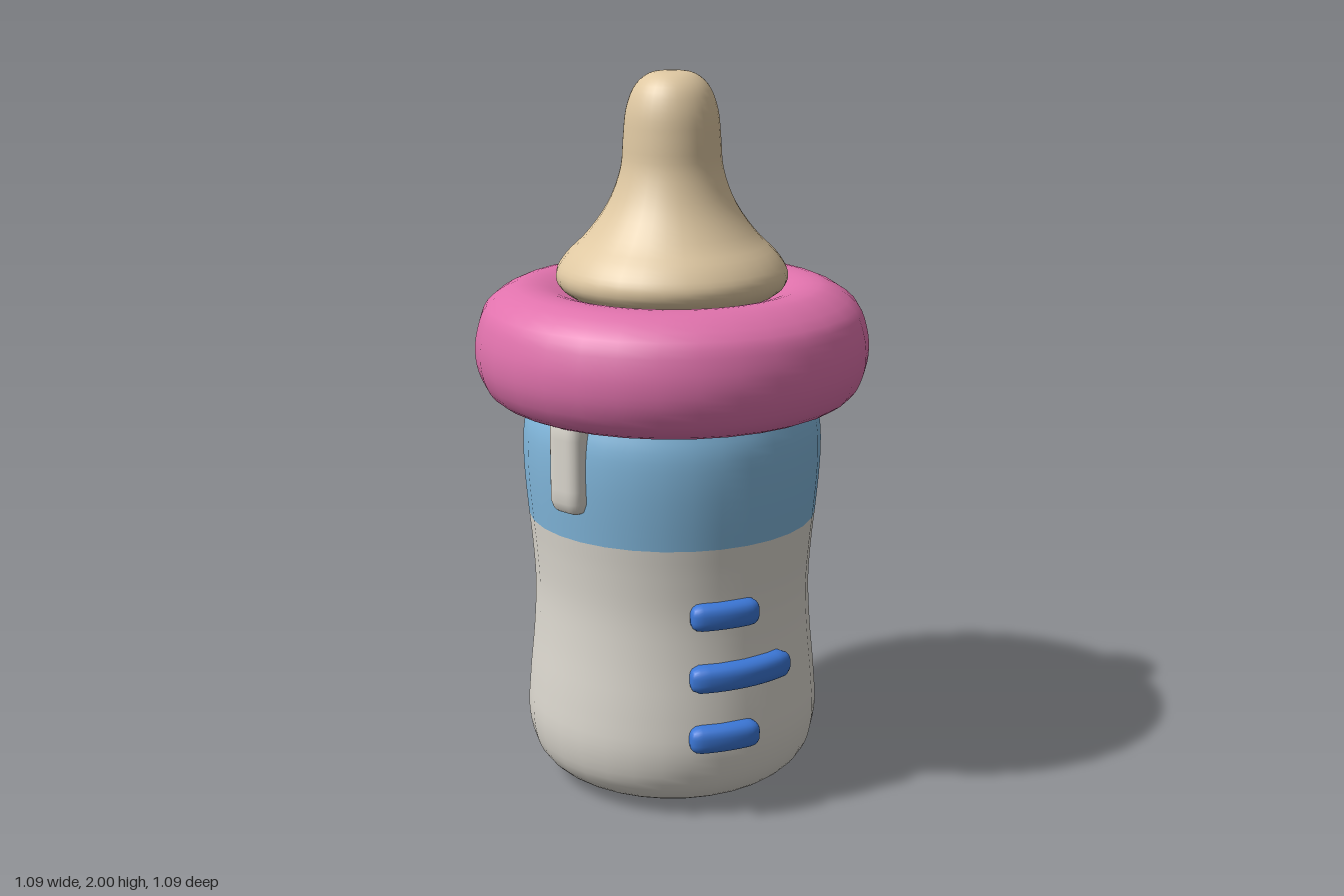
import * as THREE from 'three';
import { mergeVertices } from 'three/addons/utils/BufferGeometryUtils.js';

const material = (name, color) => {
  const m = new THREE.MeshStandardMaterial({ color });
  m.name = name;
  return m;
};

// Smooth turned part from a few [radius, height] points, listed bottom to top
function turned(name, points, mat, samples = 24) {
  const curve = new THREE.CatmullRomCurve3(
    points.map(([r, y]) => new THREE.Vector3(r, y, 0)), false, 'centripetal');
  const profile = curve.getPoints(samples).map(p => new THREE.Vector2(Math.max(p.x, 0), p.y));
  const mesh = new THREE.Mesh(new THREE.LatheGeometry(profile, 32), mat);
  mesh.name = name;
  return mesh;
}

// Rounded bar wrapped around the bottle; x0..x1 is its extent seen from the front
function wrappedBar(name, x0, x1, y0, y1, rIn, rOut, corner, mat) {
  const a0 = Math.asin(x0 / rOut), a1 = Math.asin(x1 / rOut);
  const w = (a1 - a0) * rOut, h = y1 - y0, d = rOut - rIn;
  let geo = new THREE.BoxGeometry(w, h, d, 12, 8, 6);
  geo.deleteAttribute('uv');
  geo.deleteAttribute('normal');
  geo = mergeVertices(geo);
  const pos = geo.attributes.position;
  const p = new THREE.Vector3(), core = new THREE.Vector3();
  const limit = new THREE.Vector3(w / 2 - corner, h / 2 - corner, d / 2 - corner);
  const negative = limit.clone().negate();
  for (let i = 0; i < pos.count; i++) {
    p.fromBufferAttribute(pos, i);
    // Round the corners
    core.copy(p).clamp(negative, limit);
    p.sub(core).setLength(corner).add(core);
    // Bend round the upright axis
    const a = (a0 + a1) / 2 + p.x / rOut;
    const r = (rIn + rOut) / 2 + p.z;
    pos.setXYZ(i, Math.sin(a) * r, (y0 + y1) / 2 + p.y, Math.cos(a) * r);
  }
  geo.computeVertexNormals();
  const mesh = new THREE.Mesh(geo, mat);
  mesh.name = name;
  return mesh;
}

export function createModel() {
  const group = new THREE.Group();
  group.name = 'babyBottle';

  const milk = material('milk white', 0xdcd8cf);
  const sky = material('light blue', 0x82b8dd);
  const pink = material('pink', 0xe072ac);
  const rubber = material('tan rubber', 0xdfc8a2);
  const blue = material('marking blue', 0x3c78d8);

  // Bottle: waisted body with a coloured band at the neck
  group.add(turned('bottleBody', [
    [0, 0.005], [0.2, 0.008], [0.32, 0.03], [0.385, 0.085], [0.412, 0.18],
    [0.408, 0.3], [0.394, 0.45], [0.388, 0.58], [0.395, 0.7], [0.403, 0.78],
  ], milk, 36));
  group.add(turned('neckBand', [
    [0.403, 0.78], [0.412, 0.88], [0.416, 0.97], [0.411, 1.05], [0.39, 1.12],
  ], sky, 12));

  // Fat screw collar
  group.add(turned('collar', [
    [0.3, 1.12], [0.36, 1.1], [0.43, 1.097], [0.503, 1.13], [0.535, 1.19], [0.543, 1.25],
    [0.535, 1.31], [0.51, 1.37], [0.43, 1.422], [0.36, 1.425], [0.28, 1.4],
  ], pink, 30));

  // Teat
  group.add(turned('teat', [
    [0.27, 1.39], [0.312, 1.425], [0.317, 1.46], [0.29, 1.505], [0.235, 1.56],
    [0.175, 1.645], [0.14, 1.74], [0.133, 1.82], [0.124, 1.9], [0.1, 1.96],
    [0.06, 1.993], [0, 2],
  ], rubber, 40));

  // Measuring marks
  [[0.59, 0.27, 0.425], [0.417, 0.355, 0.437], [0.248, 0.275, 0.45]].forEach(([y, x1, r], i) =>
    group.add(wrappedBar('measureMark' + (i + 1), 0.08, x1, y - 0.038, y + 0.038, r - 0.07, r, 0.03, blue)));

  // Drip hanging below the collar
  group.add(wrappedBar('drip', -0.318, -0.222, 0.86, 1.14, 0.37, 0.45, 0.037, milk));

  return group;
}
